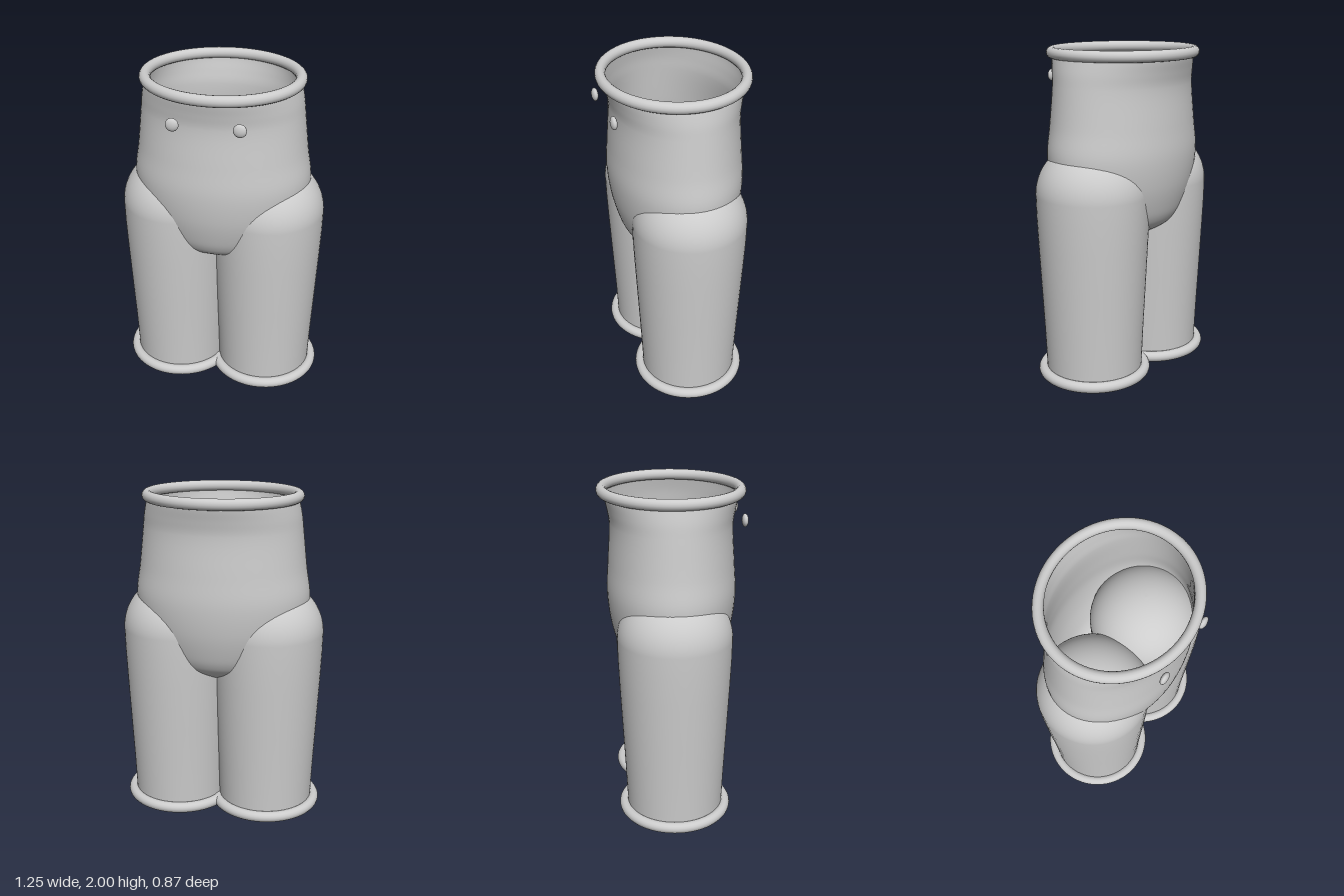
import * as THREE from 'three';
import { mergeVertices } from 'three/addons/utils/BufferGeometryUtils.js';

const grey = new THREE.MeshStandardMaterial({ color: 0xcccccc, side: THREE.DoubleSide });
grey.name = 'plainGrey';

function part(name, geometry, parent) {
  const mesh = new THREE.Mesh(geometry, grey);
  mesh.name = name;
  parent.add(mesh);
  return mesh;
}

// Open-topped shell with oval sections given as [y, half width, half depth]
function ovalShell(sections, steps, sides) {
  const curve = new THREE.CatmullRomCurve3(
    sections.map(([y, w, d]) => new THREE.Vector3(w, y, d)), false, 'centripetal');
  const rows = curve.getPoints(steps);
  const geo = new THREE.LatheGeometry(
    rows.map((p) => new THREE.Vector2(Math.max(p.x, 0), p.y)), sides);
  const pos = geo.attributes.position;
  for (let i = 0; i < pos.count; i++) {
    const row = rows[i % rows.length];
    if (row.x > 1e-5) pos.setZ(i, pos.getZ(i) * row.z / row.x);
  }
  geo.deleteAttribute('normal');
  geo.deleteAttribute('uv');
  const smooth = mergeVertices(geo, 1e-5);
  smooth.computeVertexNormals();
  return smooth;
}

// Rolled rim lying flat
function rim(radius, tube) {
  return new THREE.TorusGeometry(radius, tube, 16, 72).rotateX(Math.PI / 2);
}

export function createModel() {
  const model = new THREE.Group();
  model.name = 'trousers';

  // Waist and hips with a rounded underside
  part('torso', ovalShell([
    [0.83, 0, 0], [0.85, 0.13, 0.1], [0.89, 0.26, 0.195], [0.95, 0.365, 0.285],
    [1.0, 0.41, 0.318], [1.07, 0.455, 0.343], [1.2, 0.505, 0.373],
    [1.37, 0.532, 0.388], [1.55, 0.508, 0.378], [1.78, 0.482, 0.365],
    [1.86, 0.472, 0.377], [1.93, 0.457, 0.392], [1.97, 0.447, 0.396],
  ], 72, 72), model);

  // Oval rim around the waist opening
  const waistRim = part('waistRim', rim(0.447, 0.033), model);
  waistRim.scale.z = 0.91;
  waistRim.position.y = 1.967;

  // Leg outline: open hem, slight taper, domed top
  const outline = [
    [0.295, 0.035], [0.297, 0.1], [0.305, 0.3], [0.317, 0.55], [0.331, 0.85], [0.338, 1.02],
  ].map(([r, y]) => new THREE.Vector2(r, y));
  for (let i = 0; i <= 20; i++) {
    const a = (i / 20) * Math.PI / 2;
    outline.push(new THREE.Vector2(Math.max(0.34 * Math.cos(a), 0), 1.15 + 0.32 * Math.sin(a)));
  }

  for (const [side, s] of [['left', 1], ['right', -1]]) {
    const leg = new THREE.Group();
    leg.name = side + 'Leg';
    leg.position.x = s * 0.28;
    model.add(leg);
    part(side + 'LegTube', new THREE.LatheGeometry(outline, 64), leg);
    part(side + 'HemRim', rim(0.313, 0.033), leg).position.y = 0.035;

    // Flattened round button standing off the front
    const button = part(side + 'Button', new THREE.SphereGeometry(0.038, 24, 16), model);
    button.scale.z = 0.5;
    button.position.set(s * 0.188, 1.815, 0.41);
  }
  return model;
}
